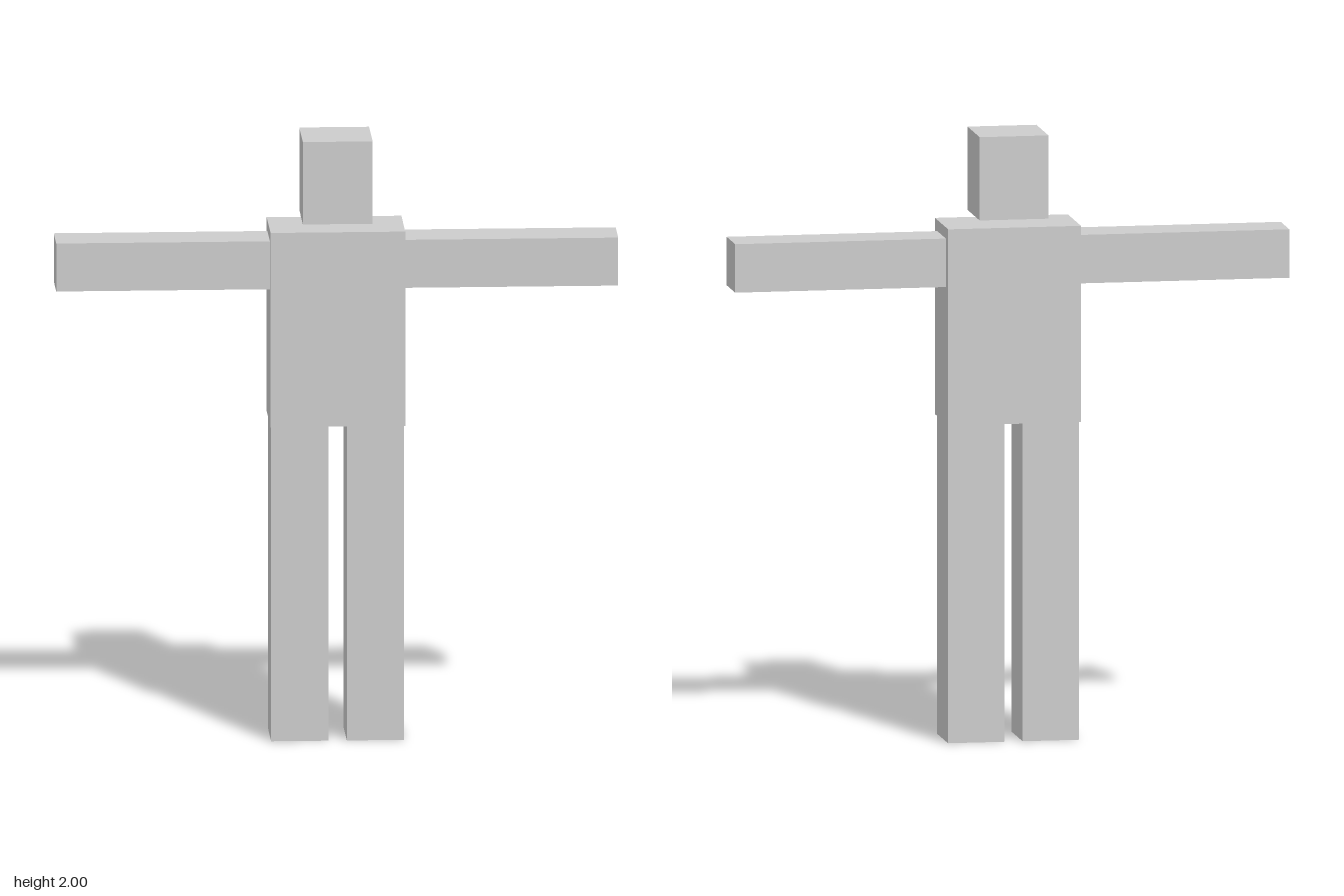
import * as THREE from 'three';

export function createModel() {
  const model = new THREE.Group();
  const material = new THREE.MeshStandardMaterial({ color: 0xcccccc, flatShading: true });

  // Box given by its size, its centre in x and its bottom in y
  function addBox(name, width, height, depth, x, bottom) {
    const mesh = new THREE.Mesh(new THREE.BoxGeometry(width, height, depth), material);
    mesh.name = name;
    mesh.position.set(x, bottom + height / 2, 0);
    model.add(mesh);
  }

  addBox('head', 0.228, 0.275, 0.23, 0, 1.725);
  addBox('torso', 0.44, 0.648, 0.25, 0, 1.052);

  // Mirrored limbs: outstretched arms and straight legs
  for (const [side, sign] of [['left', 1], ['right', -1]]) {
    addBox(side + 'Arm', 0.698, 0.16, 0.162, sign * 0.569, 1.503);
    addBox(side + 'Leg', 0.187, 1.052, 0.208, sign * 0.1235, 0);
  }
  return model;
}
